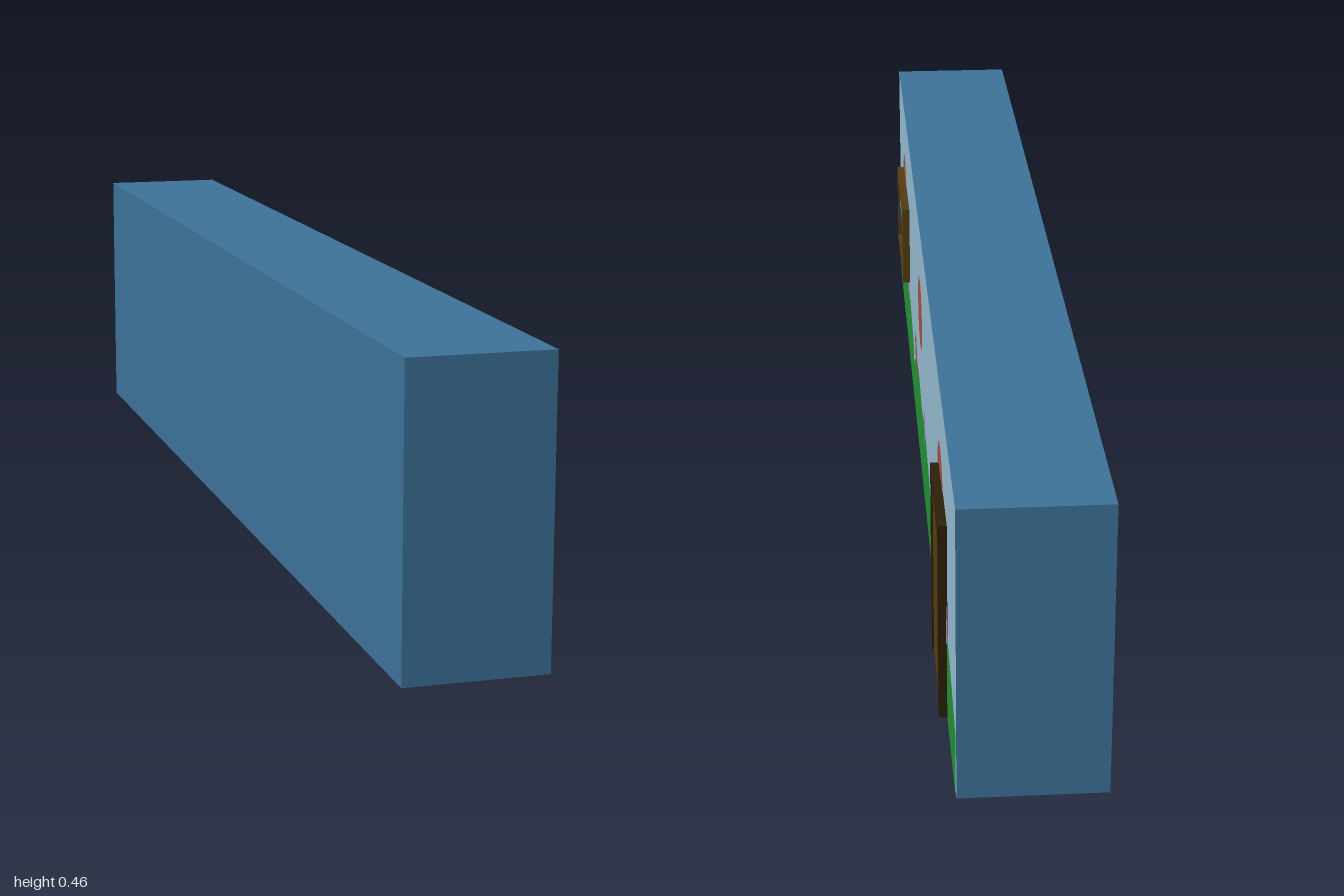
import * as THREE from 'three';

const mat = (name, color, side = THREE.FrontSide) => {
  const m = new THREE.MeshStandardMaterial({ color, side });
  m.name = name;
  return m;
};

export function createModel() {
  const group = new THREE.Group();
  const blue = mat('wall blue', 0x3c7197);
  const sky = mat('sky', 0x91b5cb);
  const green = mat('hill green', 0x238d33);
  const red = mat('brick red', 0x9e503b);
  const pink = mat('flower pink', 0xb274ba);
  const brown = mat('door brown', 0x543b10);
  const dark = mat('dark frame', 0x2c1f09);
  const glass = mat('glass blue', 0x0f8ad0);
  const bar = mat('window bar', 0x1b78ad);

  const FACE = 0.1; // x of the painted wall face

  const add = (parent, name, geo, material) => {
    const m = new THREE.Mesh(geo, material);
    m.name = name;
    parent.add(m);
    return m;
  };
  // box from ranges in x, y and z
  const box = (parent, name, x0, x1, y0, y1, z0, z1, material) =>
    add(parent, name, new THREE.BoxGeometry(x1 - x0, y1 - y0, z1 - z0), material)
      .position.set((x0 + x1) / 2, (y0 + y1) / 2, (z0 + z1) / 2);

  // wall block: the +x face carries the painted sky
  box(group, 'wall', -0.12, FACE, 0, 0.463, -1, 1, [sky, blue, blue, blue, blue, blue]);

  // mural motifs, drawn in (distance along the tile, height)
  const tile = 2 / 3;
  const hill = new THREE.Shape();
  hill.moveTo(0, 0);
  hill.lineTo(0, 0.075);
  hill.splineThru([[0.03, 0.097], [0.08, 0.125], [0.14, 0.143], [0.205, 0.155], [0.27, 0.148],
    [0.335, 0.136], [0.4, 0.149], [0.48, 0.145], [0.58, 0.128], [tile - 0.004, 0.107]]
    .map(([x, y]) => new THREE.Vector2(x, y)));
  hill.lineTo(tile, 0.075);
  hill.lineTo(tile, 0);

  const stone = new THREE.Shape([[0.082, 0.168], [0.1, 0.19], [0.12, 0.198], [0.15, 0.184], [0.155, 0.168],
    [0.18, 0.15], [0.16, 0.118], [0.125, 0.12], [0.105, 0.135], [0.09, 0.15]]
    .map(([x, y]) => new THREE.Vector2(x, y)));

  const oval = (x, y, rx, ry) => new THREE.Shape().absellipse(x, y, rx, ry, 0, Math.PI * 2);

  const motifs = [
    ['sun', oval(0.295, 0.31, 0.075, 0.064), red, 0.001],
    ['hill', hill, green, 0.001],
    ['stone', stone, red, 0.002],
    ['flower', oval(0.46, 0.163, 0.019, 0.034), pink, 0.002],
  ];
  const mural = new THREE.Group();
  mural.name = 'mural';
  group.add(mural);
  for (let i = 0; i < 3; i++) {
    for (const [name, shape, material, lift] of motifs) {
      const m = add(mural, name, new THREE.ShapeGeometry(shape, 24), material);
      m.rotation.y = Math.PI / 2;
      m.position.set(FACE + lift, 0, 1 - i * tile);
    }
  }

  // rectangular frame around an opening; bottom rail optional
  const frame = (parent, y0, y1, z0, z1, t, material, sill) => {
    const X = 0.114;
    box(parent, 'frameSide', FACE, X, y0, y1, z0, z0 + t, material);
    box(parent, 'frameSide', FACE, X, y0, y1, z1 - t, z1, material);
    box(parent, 'frameTop', FACE, X, y1 - t, y1, z0 + t, z1 - t, material);
    if (sill) box(parent, 'frameSill', FACE, X, y0, y0 + t, z0 + t, z1 - t, material);
  };

  // window with four panes
  const win = new THREE.Group();
  win.name = 'window';
  group.add(win);
  frame(win, 0.172, 0.326, 0.521, 0.777, 0.009, brown, true);
  box(win, 'glass', FACE, 0.106, 0.181, 0.317, 0.53, 0.768, glass);
  box(win, 'uprightBar', 0.106, 0.11, 0.181, 0.317, 0.644, 0.654, bar);
  for (const [z0, z1] of [[0.53, 0.644], [0.654, 0.768]])
    box(win, 'crossBar', 0.106, 0.11, 0.246, 0.254, z0, z1, bar);

  // door
  const door = new THREE.Group();
  door.name = 'door';
  group.add(door);
  frame(door, 0, 0.325, -0.789, -0.584, 0.012, dark, false);
  box(door, 'doorPanel', FACE, 0.111, 0, 0.313, -0.777, -0.596, brown);
  add(door, 'knob', new THREE.SphereGeometry(0.004, 12, 8), brown).position.set(0.114, 0.13, -0.768);

  return group;
}
